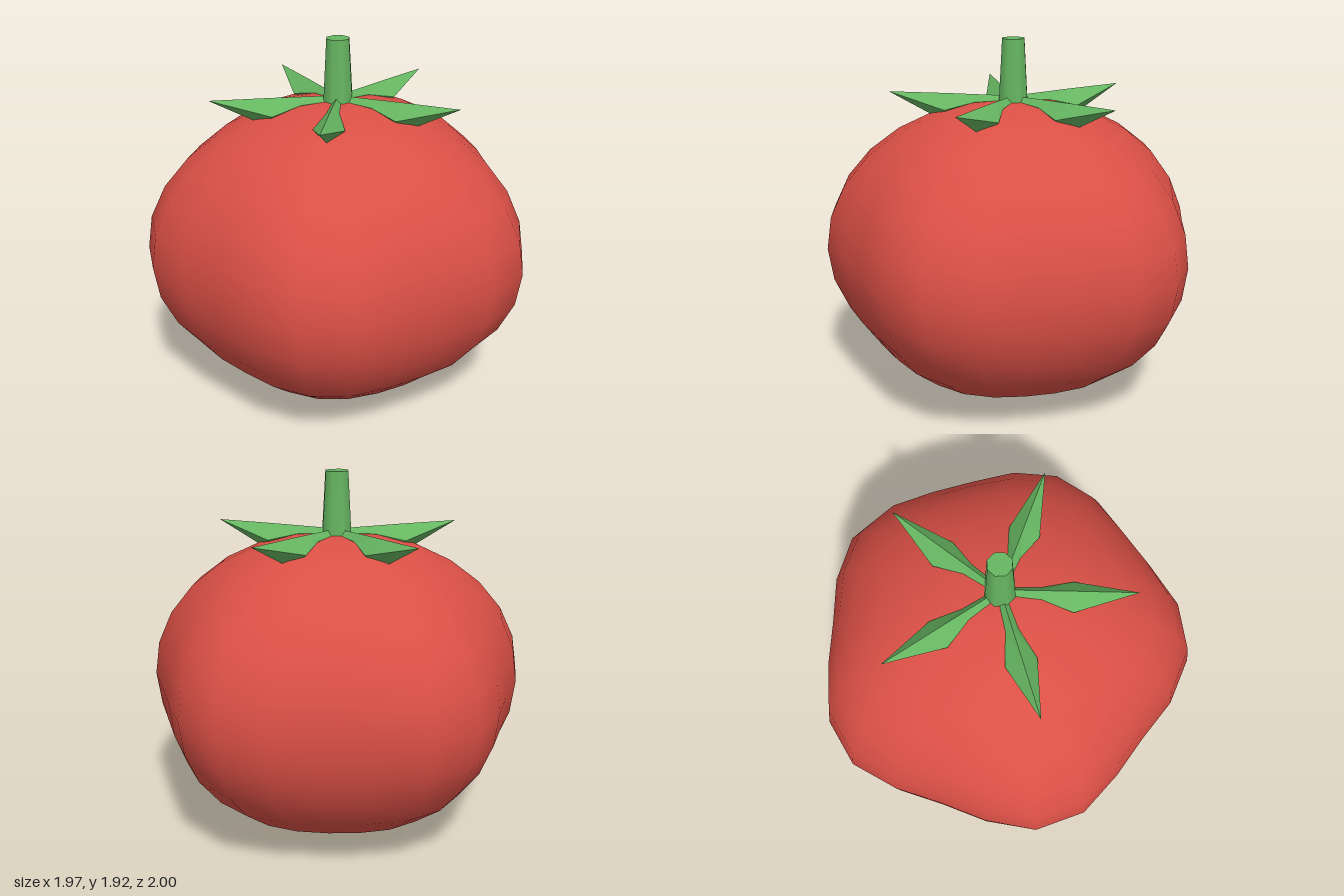
import * as THREE from 'three';
import { mergeVertices } from 'three/addons/utils/BufferGeometryUtils.js';

const CENTRE_X = -0.055;

// Squashed sphere with five soft lobes that fade towards the poles
function fruitGeometry() {
  let geo = new THREE.SphereGeometry(1, 24, 14);
  geo.deleteAttribute('uv');
  geo.deleteAttribute('normal');
  geo = mergeVertices(geo, 1e-4);
  const p = geo.attributes.position;
  for (let i = 0; i < p.count; i++) {
    const s = Math.hypot(p.getX(i), p.getZ(i));
    const a = Math.atan2(p.getZ(i), p.getX(i));
    const r = 0.98 * s + 0.055 * s ** 3 * Math.cos(5 * a);
    p.setXYZ(i, r * Math.cos(a), 0.803 + 0.8 * p.getY(i), r * Math.sin(a));
  }
  geo.computeVertexNormals();
  return geo;
}

// Pointed leaf along +x with a flat top ridge, lofted through diamond sections
function sepalGeometry() {
  // distance, half width, ridge y, side y, keel y
  const sections = [
    [0, 0.018, 1.62, 1.6, 1.56],
    [0.2, 0.032, 1.624, 1.587, 1.52],
    [0.355, 0.08, 1.627, 1.55, 1.468],
    [0.665, 0, 1.63, 1.63, 1.63],
  ];
  const pos = [];
  const index = [];
  for (const [x, w, top, side, keel] of sections) {
    pos.push(x, top, 0, x, side, w, x, keel, 0, x, side, -w);
  }
  for (let s = 0; s < sections.length - 1; s++) {
    for (let k = 0; k < 4; k++) {
      const a = s * 4 + k, b = s * 4 + (k + 1) % 4;
      index.push(a, b, a + 4);
      if (s < sections.length - 2) index.push(b, b + 4, a + 4);
    }
  }
  const geo = new THREE.BufferGeometry();
  geo.setAttribute('position', new THREE.Float32BufferAttribute(pos, 3));
  geo.setIndex(index);
  const flat = geo.toNonIndexed();
  flat.computeVertexNormals();
  return flat;
}

export function createModel() {
  const red = new THREE.MeshStandardMaterial({ color: 0xdb5046 });
  red.name = 'tomatoRed';
  const green = new THREE.MeshStandardMaterial({ color: 0x66b661 });
  green.name = 'leafGreen';

  const model = new THREE.Group();
  model.name = 'tomato';
  const add = (name, geo, mat) => {
    const mesh = new THREE.Mesh(geo, mat);
    mesh.name = name;
    mesh.position.x = CENTRE_X;
    model.add(mesh);
    return mesh;
  };

  add('fruit', fruitGeometry(), red);

  // Tapered stem
  add('stem', new THREE.CylinderGeometry(0.062, 0.081, 0.34, 8), green).position.y = 1.75;

  // Ring of five sepals
  const sepal = sepalGeometry();
  for (let i = 0; i < 5; i++) {
    add('sepal' + (i + 1), sepal, green).rotation.y = (i * Math.PI * 2) / 5;
  }
  return model;
}
